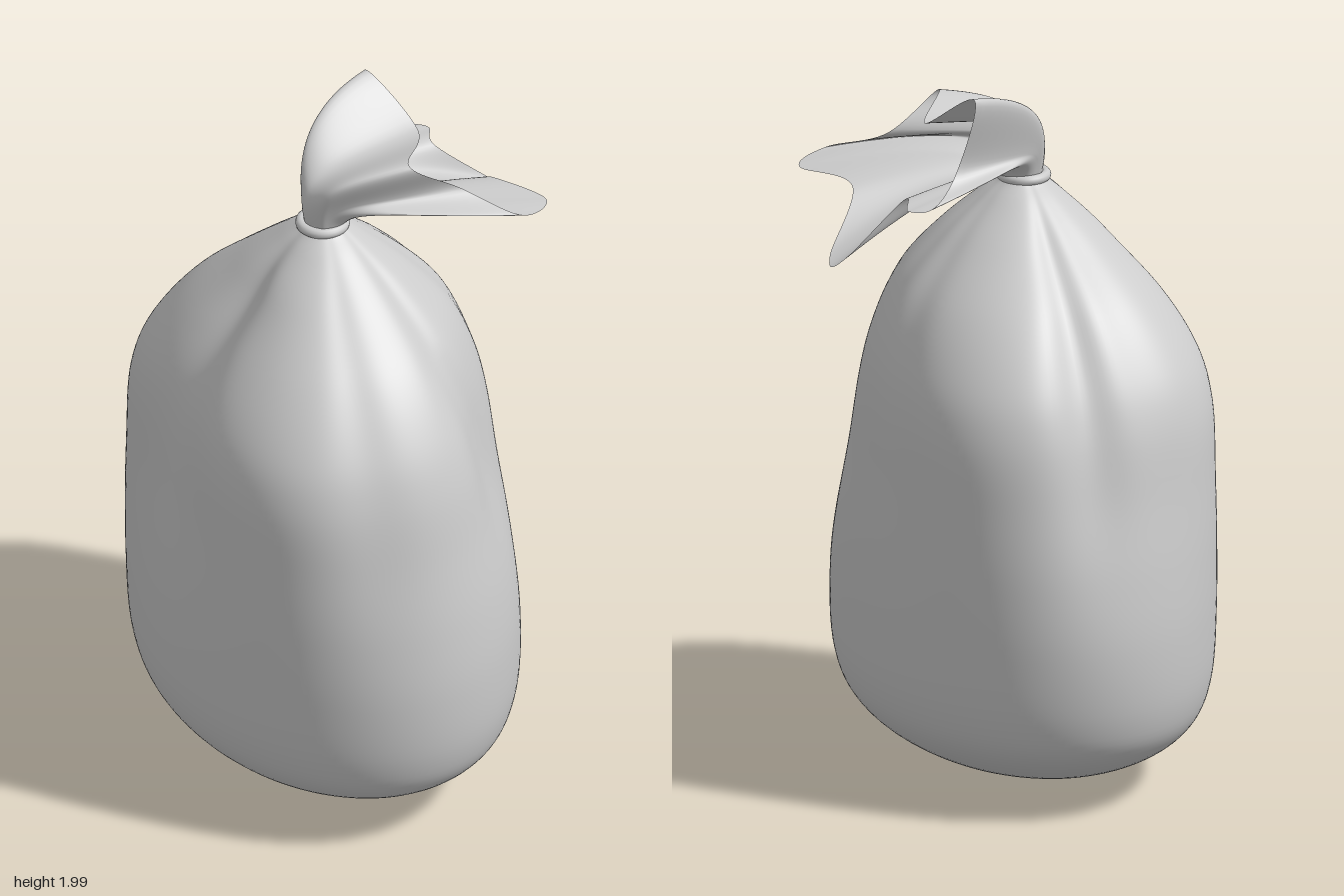
import * as THREE from 'three';

const material = new THREE.MeshStandardMaterial({ color: 0xcccccc, side: THREE.DoubleSide });
const CENTRE = -0.06, NECK_Y = 1.69;

// Closed tube of cross-sections: point(u, v) with u around (wrapping) and v along
function loft(name, nu, nv, point) {
  const positions = [], index = [];
  for (let j = 0; j <= nv; j++)
    for (let i = 0; i < nu; i++) positions.push(...point(i / nu, j / nv).toArray());
  for (let j = 0; j < nv; j++)
    for (let i = 0; i < nu; i++) {
      const a = j * nu + i, b = j * nu + (i + 1) % nu, c = a + nu, d = b + nu;
      index.push(a, c, b, b, c, d);
    }
  const geometry = new THREE.BufferGeometry();
  geometry.setAttribute('position', new THREE.Float32BufferAttribute(positions, 3));
  geometry.setIndex(index);
  geometry.computeVertexNormals();
  const mesh = new THREE.Mesh(geometry, material);
  mesh.name = name;
  return mesh;
}

const curve = (points, closed = false) =>
  new THREE.CatmullRomCurve3(points.map(p => new THREE.Vector3(...p)), closed, 'catmullrom', 0.5);

// Sack body: oval rings [half width, height, half depth]
const profile = curve([
  [0.002, 0.006, 0.002], [0.17, 0.03, 0.24], [0.33, 0.09, 0.46], [0.44, 0.18, 0.61], [0.487, 0.3, 0.667],
  [0.497, 0.5, 0.68], [0.495, 0.7, 0.662], [0.483, 0.9, 0.625], [0.47, 1.1, 0.583], [0.435, 1.25, 0.52],
  [0.36, 1.4, 0.412], [0.235, 1.54, 0.255], [0.12, 1.64, 0.13], [0.066, 1.685, 0.066], [0.055, 1.71, 0.055],
]);

// Pleats running down from the tie: [angle in degrees, depth, width in degrees, twist per unit of height]
const pleats = [
  [61, 0.065, 9, 36], [8, 0.03, 9, 0], [-14, 0.03, 9, 0], [-85, 0.1, 9, 0],
  [184, 0.12, 13, 0], [108, 0.03, 9, 0], [255, 0.03, 10, 0],
];
// Broad swellings and hollows: [angle, amount, width, height, reach above, reach below]
const lobes = [
  [135, 0.08, 28, 1.15, 0.3, 0.42], [-45, 0.08, 28, 1.15, 0.3, 0.42], [222, 0.08, 26, 1.15, 0.3, 0.42],
  [38, -0.115, 24, 1.15, 0.35, 0.36], [175, -0.12, 35, 1.48, 0.13, 0.17],
];

const bell = (angle, at, width) =>
  Math.exp(-(((THREE.MathUtils.euclideanModulo(angle - at + 180, 360) - 180) / width) ** 2));

function bodyPoint(u, v) {
  const ring = profile.getPoint(v), angle = u * 360, drop = Math.max(0, 1.4 - ring.y);
  const fade = THREE.MathUtils.smoothstep(ring.y, 0.4, 1.45) *
    (1 - 0.6 * THREE.MathUtils.smoothstep(ring.y, 1.55, NECK_Y));
  let scale = 1;
  for (const [at, depth, width, twist] of pleats)
    scale -= depth * fade * bell(angle, at - twist * drop, width * (1 + drop));
  for (const [at, amount, width, height, above, below] of lobes) {
    const rise = ring.y - height;
    scale += amount * Math.exp(-((rise / (rise > 0 ? above : below)) ** 2)) * bell(angle, at, width);
  }
  const t = u * Math.PI * 2;
  return new THREE.Vector3(CENTRE + ring.x * scale * Math.cos(t), ring.y, ring.z * scale * Math.sin(t));
}

// Gathered tail: rim points with the neck angle each one is drawn from
const rimPoints = [
  [0.17, 2.0, -0.2, 230], [0.24, 1.885, -0.02, 180], [0.12, 1.91, 0.16, 130], [0.27, 1.8, 0.17, 105],
  [0.4, 1.74, 0.29, 78], [0.51, 1.72, 0.22, 48], [0.43, 1.71, 0.04, 22], [0.545, 1.56, -0.07, 0],
  [0.535, 1.56, -0.13, -18], [0.36, 1.72, -0.15, -42], [0.385, 1.72, -0.24, -62], [0.32, 1.73, -0.27, -85],
  [0.21, 1.8, -0.18, -108],
];
const rim = curve(rimPoints.map(p => p.slice(0, 3)), true);
const gather = curve(rimPoints.map(([, , , deg]) => {
  const t = THREE.MathUtils.degToRad(deg);
  return [CENTRE + 0.055 * Math.cos(t), NECK_Y, 0.055 * Math.sin(t)];
}), true);

function tailPoint(u, v) {
  const start = gather.getPoint(1 - u), end = rim.getPoint(1 - u), side = start.x - CENTRE;
  const rise = new THREE.Vector3(CENTRE + side * 1.75, NECK_Y + 0.1 - 1.2 * side, start.z * 1.4);
  const lean = new THREE.Vector3(0.6 * end.x - 0.17, Math.max(1.78, end.y - 0.03), end.z * 0.72);
  return new THREE.CubicBezierCurve3(start, rise, lean, end).getPoint(v);
}

export function createModel() {
  const group = new THREE.Group();
  group.name = 'tiedSack';
  group.add(loft('sackBody', 180, 90, bodyPoint));
  group.add(loft('gatheredTail', 144, 28, tailPoint));

  // Tie around the neck
  const tie = new THREE.Mesh(new THREE.TorusGeometry(0.06, 0.015, 12, 48), material);
  tie.name = 'neckTie';
  tie.rotation.x = Math.PI / 2;
  tie.position.set(CENTRE - 0.005, NECK_Y, 0);
  group.add(tie);
  return group;
}
